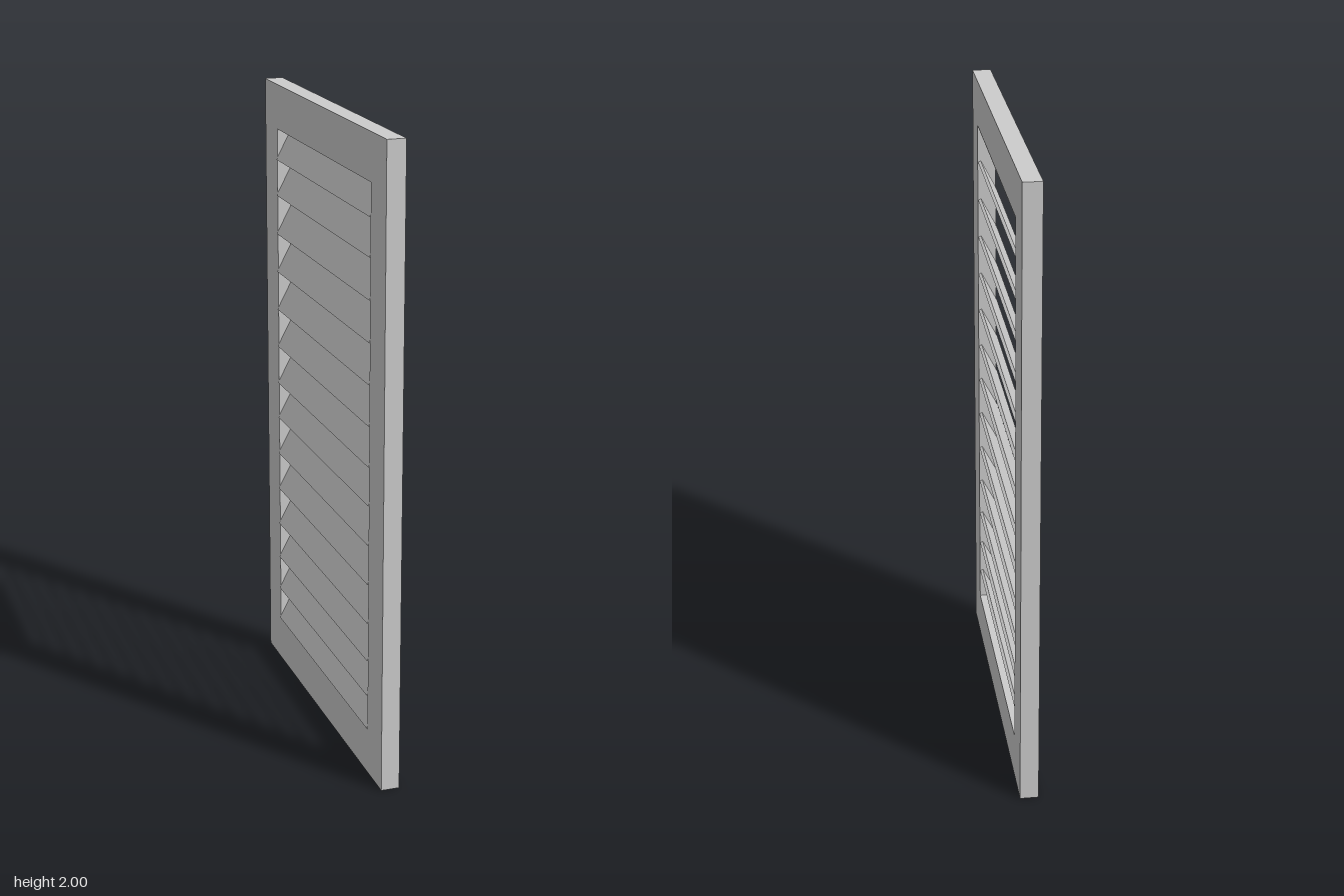
import * as THREE from 'three';

const material = new THREE.MeshStandardMaterial({ color: 0xcccccc, flatShading: true });

const HEIGHT = 2, HALF_WIDTH = 0.577, DEPTH = 0.058;
const OPEN_HALF = 0.449, OPEN_BOTTOM = 0.146, OPEN_TOP = 1.856;

// Heights of the slat centres, slightly uneven in spacing
const SLAT_HEIGHTS = [
  0.198, 0.309, 0.425, 0.548, 0.675, 0.802, 0.928,
  1.05, 1.177, 1.304, 1.432, 1.559, 1.686, 1.804,
];

function rectangle(PathType, halfWidth, bottom, top) {
  const path = new PathType();
  path.moveTo(-halfWidth, bottom);
  path.lineTo(halfWidth, bottom);
  path.lineTo(halfWidth, top);
  path.lineTo(-halfWidth, top);
  path.closePath();
  return path;
}

export function createModel() {
  const model = new THREE.Group();
  model.name = 'louveredShutter';

  // Flat frame with one rectangular opening, turned to face along x
  const outline = rectangle(THREE.Shape, HALF_WIDTH, 0, HEIGHT);
  outline.holes.push(rectangle(THREE.Path, OPEN_HALF, OPEN_BOTTOM, OPEN_TOP));
  const frameGeometry = new THREE.ExtrudeGeometry(outline, { depth: DEPTH, bevelEnabled: false });
  frameGeometry.rotateY(Math.PI / 2);
  frameGeometry.translate(0.031 - DEPTH, 0, 0);
  const frame = new THREE.Mesh(frameGeometry, material);
  frame.name = 'frame';
  model.add(frame);

  // Tilted slats, upper edge towards +x and lower edge towards -x
  const slats = new THREE.Group();
  slats.name = 'slats';
  const slatGeometry = new THREE.BoxGeometry(0.01, 0.112, OPEN_HALF * 2);
  slatGeometry.rotateZ(THREE.MathUtils.degToRad(-27.5));
  SLAT_HEIGHTS.forEach((y, i) => {
    const slat = new THREE.Mesh(slatGeometry, material);
    slat.name = `slat${i + 1}`;
    slat.position.set(-0.0005, y, 0);
    slats.add(slat);
  });
  model.add(slats);

  return model;
}
